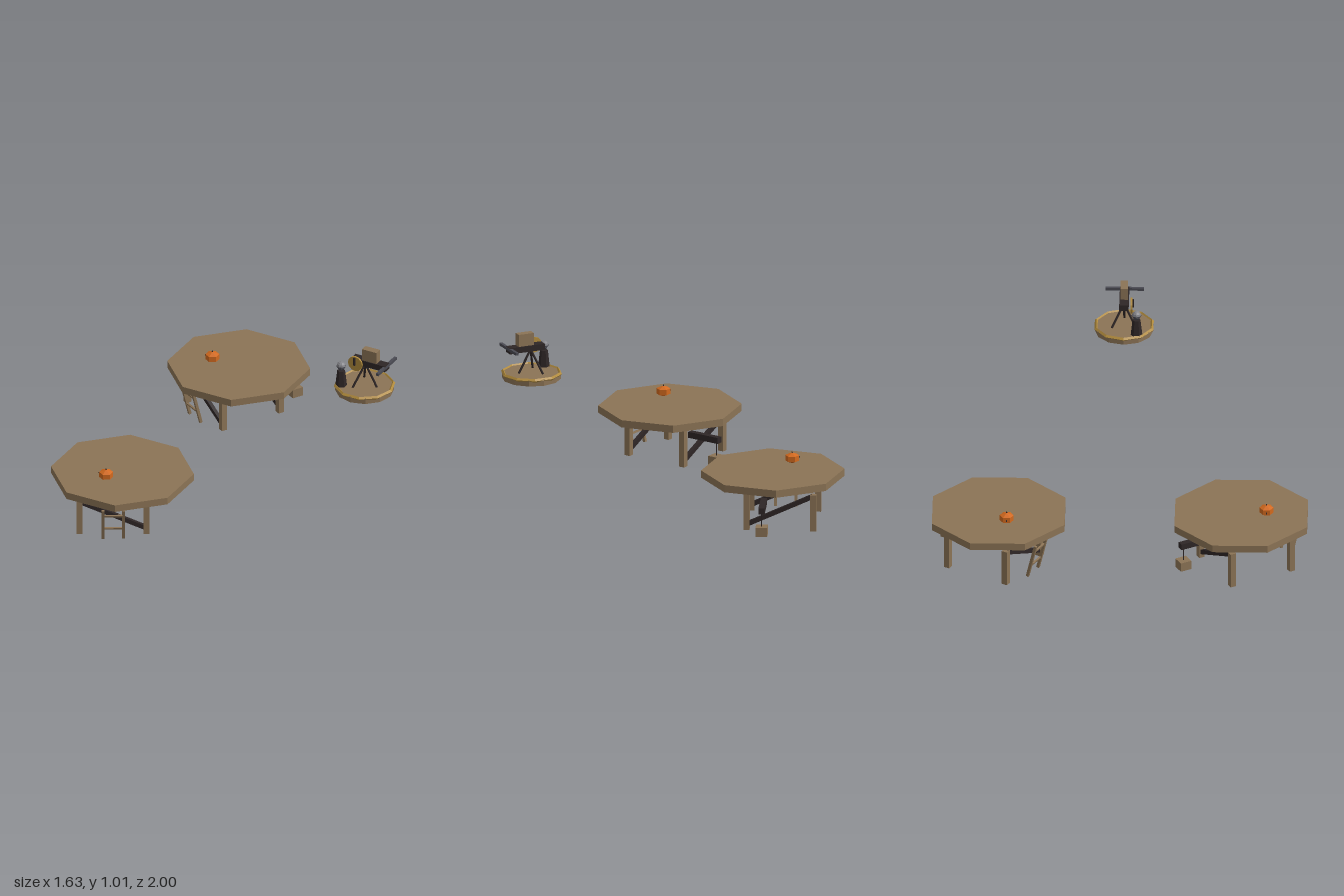
import * as THREE from 'three';

const material = (color) => new THREE.MeshStandardMaterial({ color, flatShading: true });
const wood = material(0x8b7355);
const darkWood = material(0x2e2626);
const iron = material(0x4a4a52);
const steel = material(0x85858a);
const brass = material(0xb08a3c);
const orange = material(0xd2691e);

function add(parent, name, geometry, mat, x = 0, y = 0, z = 0) {
  const mesh = new THREE.Mesh(geometry, mat);
  mesh.name = name;
  mesh.position.set(x, y, z);
  parent.add(mesh);
  return mesh;
}

const box = (w, h, d) => new THREE.BoxGeometry(w, h, d);

// Thin round bar between two points
function bar(parent, name, from, to, radius, mat) {
  const a = new THREE.Vector3(...from), b = new THREE.Vector3(...to);
  const dir = b.clone().sub(a);
  const mesh = add(parent, name, new THREE.CylinderGeometry(radius, radius, dir.length(), 6), mat);
  mesh.position.copy(a).add(b).multiplyScalar(0.5);
  mesh.quaternion.setFromUnitVectors(new THREE.Vector3(0, 1, 0), dir.normalize());
}

function createLadder() {
  const ladder = new THREE.Group();
  ladder.name = 'ladder';
  for (const s of [-1, 1]) add(ladder, 'ladderRail', box(0.015, 0.2, 0.015), wood, s * 0.055, 0, 0);
  for (const y of [-0.03, 0.06]) add(ladder, 'ladderRung', box(0.11, 0.01, 0.01), wood, 0, y, 0);
  ladder.position.set(0, 0.1, 0.265);
  ladder.rotation.x = 0.25;
  return ladder;
}

function createPumpkin(x, z) {
  const pumpkin = new THREE.Group();
  pumpkin.name = 'pumpkin';
  const body = add(pumpkin, 'pumpkinBody', new THREE.SphereGeometry(0.0427, 6, 3), orange);
  body.scale.y = 0.7;
  body.rotation.y = Math.PI / 6;
  add(pumpkin, 'pumpkinStem', new THREE.CylinderGeometry(0.003, 0.004, 0.012, 5), darkWood, 0, 0.029, 0);
  add(pumpkin, 'pumpkinStub', box(0.014, 0.005, 0.005), darkWood, -0.037, 0, 0);
  pumpkin.position.set(x, 0.315, z);
  return pumpkin;
}

// side is +1 for the front platform, -1 for the back one
function createPlatform(side, pumpkinX, pumpkinZ) {
  const platform = new THREE.Group();
  platform.name = side > 0 ? 'frontPlatform' : 'backPlatform';

  add(platform, 'deck', new THREE.CylinderGeometry(0.382, 0.382, 0.04, 8, 1, false, Math.PI / 8), wood,
    -0.465, 0.26, side * 0.645);

  // Trestle turned under the deck
  const trestle = new THREE.Group();
  trestle.name = 'trestle';
  trestle.position.set(-0.51, 0, side * 0.67);
  trestle.rotation.y = side * 0.51;
  platform.add(trestle);

  const half = 0.178;
  for (const sz of [-1, 1]) {
    for (const sx of [-1, 1]) add(trestle, 'leg', box(0.032, 0.2, 0.032), wood, sx * half, 0.1, sz * half);
    const brace = add(trestle, 'brace', box(0.385, 0.024, 0.02), darkWood, 0, 0.11, sz * half);
    brace.rotation.z = -0.43;
  }
  trestle.add(createLadder());

  // Hoist arm with a hanging crate
  add(trestle, 'hoistArm', box(0.033, 0.033, 0.193), darkWood, 0.087, 0.153, -0.253);
  add(trestle, 'hoistRope', new THREE.CylinderGeometry(0.003, 0.003, 0.08, 5), darkWood, 0.087, 0.1, -0.33);
  add(trestle, 'crate', box(0.063, 0.05, 0.063), wood, 0.087, 0.04, -0.33);

  platform.add(createPumpkin(pumpkinX, pumpkinZ));
  return platform;
}

function createTurret() {
  const turret = new THREE.Group();
  turret.name = 'turret';
  turret.position.set(0.65, 0.755, 0);

  // Round base with brass rim
  add(turret, 'base', new THREE.CylinderGeometry(0.157, 0.157, 0.034, 12), wood, 0, 0.017, 0);
  const rim = add(turret, 'rim', new THREE.TorusGeometry(0.155, 0.01, 4, 10), brass, 0, 0.031, 0);
  rim.rotation.x = Math.PI / 2;

  // Tripod
  for (let i = 0; i < 3; i++) {
    const a = (i * Math.PI * 2) / 3;
    bar(turret, 'tripodLeg', [0.075 * Math.cos(a), 0.034, 0.075 * Math.sin(a)], [0.005, 0.16, 0], 0.006, darkWood);
  }

  // Crossbow body, magazine and bow
  add(turret, 'stock', box(0.205, 0.033, 0.05), darkWood, 0.035, 0.172, 0);
  add(turret, 'magazine', box(0.088, 0.067, 0.04), wood, 0.039, 0.222, 0);
  add(turret, 'bow', box(0.016, 0.015, 0.205), iron, 0.132, 0.178, 0);

  // Crank wheel
  const wheel = add(turret, 'crankWheel', new THREE.CylinderGeometry(0.043, 0.043, 0.01, 12), brass, -0.034, 0.17, 0.04);
  wheel.rotation.x = Math.PI / 2;
  add(turret, 'crankHandle', box(0.01, 0.045, 0.01), darkWood, -0.036, 0.185, 0.048);

  // Gunner
  const gunner = new THREE.Group();
  gunner.name = 'gunner';
  gunner.position.set(-0.105, 0.034, 0.068);
  add(gunner, 'gunnerBody', new THREE.CylinderGeometry(0.021, 0.031, 0.09, 6), darkWood, 0, 0.045, 0);
  add(gunner, 'gunnerHead', new THREE.SphereGeometry(0.021, 6, 5), iron, 0, 0.111, 0);
  add(gunner, 'helmet', new THREE.SphereGeometry(0.025, 8, 3, 0, Math.PI * 2, 0, Math.PI / 2), steel, 0, 0.117, 0);
  add(gunner, 'helmetBrim', new THREE.CylinderGeometry(0.026, 0.026, 0.005, 8), iron, 0, 0.116, 0);
  turret.add(gunner);
  return turret;
}

export function createModel() {
  const model = new THREE.Group();
  model.name = 'platformsAndTurret';
  model.add(createPlatform(1, -0.49, 0.78), createPlatform(-1, -0.6, -0.6), createTurret());
  return model;
}
